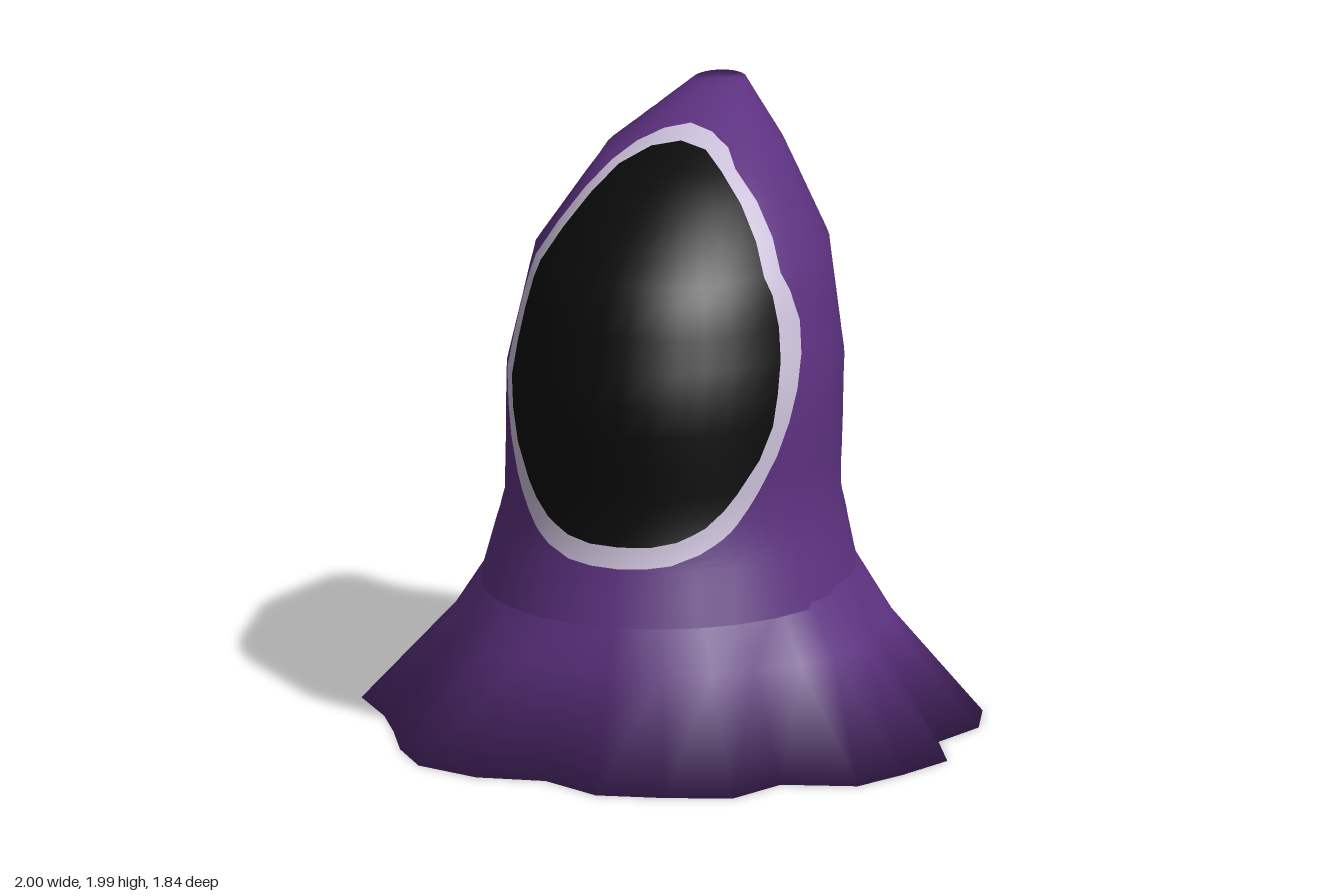
import * as THREE from 'three';

const purple = new THREE.MeshStandardMaterial({ color: 0x5c317f, side: THREE.DoubleSide });
purple.name = 'purple cloth';
const pale = new THREE.MeshStandardMaterial({ color: 0xcabfd8 });
pale.name = 'pale trim';
const black = new THREE.MeshStandardMaterial({ color: 0x0b0b0b });
black.name = 'black opening';

const CX = 0.035; // the hood sits slightly off the middle

// Hood cross-sections: height, half width, front z, back z
const SECTIONS = [
  [0.5, 0.6, 0.72, -0.625], [0.56, 0.583, 0.7, -0.615], [0.78, 0.528, 0.62, -0.59],
  [1.2, 0.528, 0.62, -0.655], [1.56, 0.46, 0.48, -0.655],
  [1.84, 0.28, 0.12, -0.59], [1.985, 0.085, -0.41, -0.62],
];

// Face opening: height, half width of the black, half width of the pale trim
const OPENING = [
  [0.5, 0, 0], [0.56, 0, 0], [0.62, 0, 0], [0.677, 0, 0], [0.68, 0, 0.09], [0.69, 0, 0.17],
  [0.72, 0, 0.25], [0.742, 0, 0.285], [0.745, 0.1, 0.29], [0.76, 0.18, 0.31], [0.78, 0.225, 0.33],
  [0.8, 0.26, 0.345], [0.85, 0.31, 0.375], [0.9, 0.345, 0.4], [1.0, 0.4, 0.44], [1.1, 0.43, 0.465],
  [1.2, 0.44, 0.48], [1.3, 0.435, 0.475], [1.4, 0.42, 0.46], [1.5, 0.395, 0.43],
  [1.56, 0.37, 0.405], [1.65, 0.32, 0.355], [1.75, 0.25, 0.285], [1.84, 0.17, 0.205],
  [1.88, 0.09, 0.15], [1.895, 0, 0.115], [1.91, 0, 0.08], [1.925, 0, 0], [1.955, 0, 0], [1.985, 0, 0],
];

function sectionAt(y) {
  let i = 0;
  while (i < SECTIONS.length - 2 && y > SECTIONS[i + 1][0]) i++;
  const a = SECTIONS[i], b = SECTIONS[i + 1];
  const t = THREE.MathUtils.clamp((y - a[0]) / (b[0] - a[0]), 0, 1);
  const [rx, front, back] = [1, 2, 3].map((k) => THREE.MathUtils.lerp(a[k], b[k], t));
  return { rx, zc: (front + back) / 2, rz: (front - back) / 2 };
}

function hoodPoint(y, angle) {
  const s = sectionAt(y);
  return new THREE.Vector3(CX + s.rx * Math.sin(angle), y, s.zc + s.rz * Math.cos(angle));
}

// Smooth normal, taken over a tall step so the section breaks stay soft
function hoodNormal(y, angle) {
  const s = sectionAt(y);
  const lo = Math.max(0.5, y - 0.12), hi = Math.min(1.985, y + 0.12);
  const up = hoodPoint(hi, angle).sub(hoodPoint(lo, angle));
  return new THREE.Vector3(s.rx * Math.cos(angle), 0, -s.rz * Math.sin(angle)).cross(up).normalize();
}

// Hood: columns follow the edges of the opening, so colours split cleanly
function makeHood() {
  const FRONT = 6, REST = 14, HALF = FRONT + 1 + REST;
  const cols = 2 * HALF + 1;
  const pos = [], nor = [], faces = [[], [], []];
  for (const [y, inner, outer] of OPENING) {
    const { rx } = sectionAt(y);
    const a = Math.asin(inner / rx), b = Math.asin(outer / rx);
    for (let c = -HALF; c <= HALF; c++) {
      const k = Math.abs(c);
      const angle = Math.sign(c) * (k <= FRONT ? (a * k) / FRONT : b + ((Math.PI - b) * (k - FRONT - 1)) / REST);
      pos.push(...hoodPoint(y, angle).toArray());
      nor.push(...hoodNormal(y, angle).toArray());
    }
  }
  for (let r = 0; r < OPENING.length - 1; r++) {
    for (let c = 0; c < cols - 1; c++) {
      const k = Math.max(Math.abs(c - HALF), Math.abs(c + 1 - HALF));
      const p = r * cols + c, q = p + cols;
      faces[k <= FRONT ? 2 : k === FRONT + 1 ? 1 : 0].push(p, p + 1, q + 1, p, q + 1, q);
    }
  }
  // Closed tip
  const last = (OPENING.length - 1) * cols, tip = pos.length / 3;
  pos.push(CX, 1.985, -0.515);
  nor.push(0, 1, 0);
  for (let c = 0; c < cols - 1; c++) faces[0].push(last + c, last + c + 1, tip);

  const geo = new THREE.BufferGeometry();
  geo.setAttribute('position', new THREE.Float32BufferAttribute(pos, 3));
  geo.setAttribute('normal', new THREE.Float32BufferAttribute(nor, 3));
  geo.setIndex(faces.flat());
  let start = 0;
  faces.forEach((f, i) => { geo.addGroup(start, f.length, i); start += f.length; });
  return new THREE.Mesh(geo, [purple, pale, black]);
}

// Wavy hem of the cape in plan: x, z, from the right side round the front
const HEM = [
  [-1, 0], [-0.87, 0.19], [-0.79, 0.36], [-0.71, 0.56], [-0.6, 0.73], [-0.385, 0.815], [-0.16, 0.795],
  [0.04, 0.915], [0.26, 0.885], [0.47, 0.83], [0.57, 0.63], [0.81, 0.58], [0.91, 0.41], [1, 0.21],
  [0.91, 0], [0.985, -0.2], [0.94, -0.4], [0.79, -0.55], [0.6, -0.65], [0.27, -0.925],
  [0.04, -0.855], [-0.17, -0.835], [-0.36, -0.76], [-0.62, -0.755], [-0.68, -0.53], [-0.8, -0.375], [-0.86, -0.19],
];

// Cape: the hem blends up into an oval collar, with a closed underside
function makeCape() {
  const n = HEM.length, pos = [], idx = [];
  const rings = [[0, 0, 1], [0.35, 0.71, 1], [0.55, 1, 1], [0.64, 1, 0.85]]; // height, blend, scale
  for (const [y, t, s] of rings) {
    for (const [x, z] of HEM) {
      const a = Math.atan2(x - CX, z);
      const ox = CX + 0.582 * s * Math.sin(a), oz = 0.035 + 0.642 * s * Math.cos(a);
      pos.push(THREE.MathUtils.lerp(x, ox, t), y, THREE.MathUtils.lerp(z, oz, t));
    }
  }
  for (let r = 0; r < rings.length - 1; r++) {
    for (let i = 0; i < n; i++) {
      const j = (i + 1) % n, p = r * n, q = p + n;
      idx.push(p + i, p + j, q + j, p + i, q + j, q + i);
    }
  }
  const centre = pos.length / 3;
  pos.push(0, 0, 0);
  for (let i = 0; i < n; i++) idx.push((i + 1) % n, i, centre);
  const geo = new THREE.BufferGeometry();
  geo.setAttribute('position', new THREE.Float32BufferAttribute(pos, 3));
  geo.setIndex(idx);
  geo.computeVertexNormals();
  return new THREE.Mesh(geo, purple);
}

export function createModel() {
  const model = new THREE.Group();
  model.name = 'hoodedCowl';
  const hood = makeHood();
  hood.name = 'hood';
  const cape = makeCape();
  cape.name = 'cape';
  model.add(hood, cape);
  return model;
}
